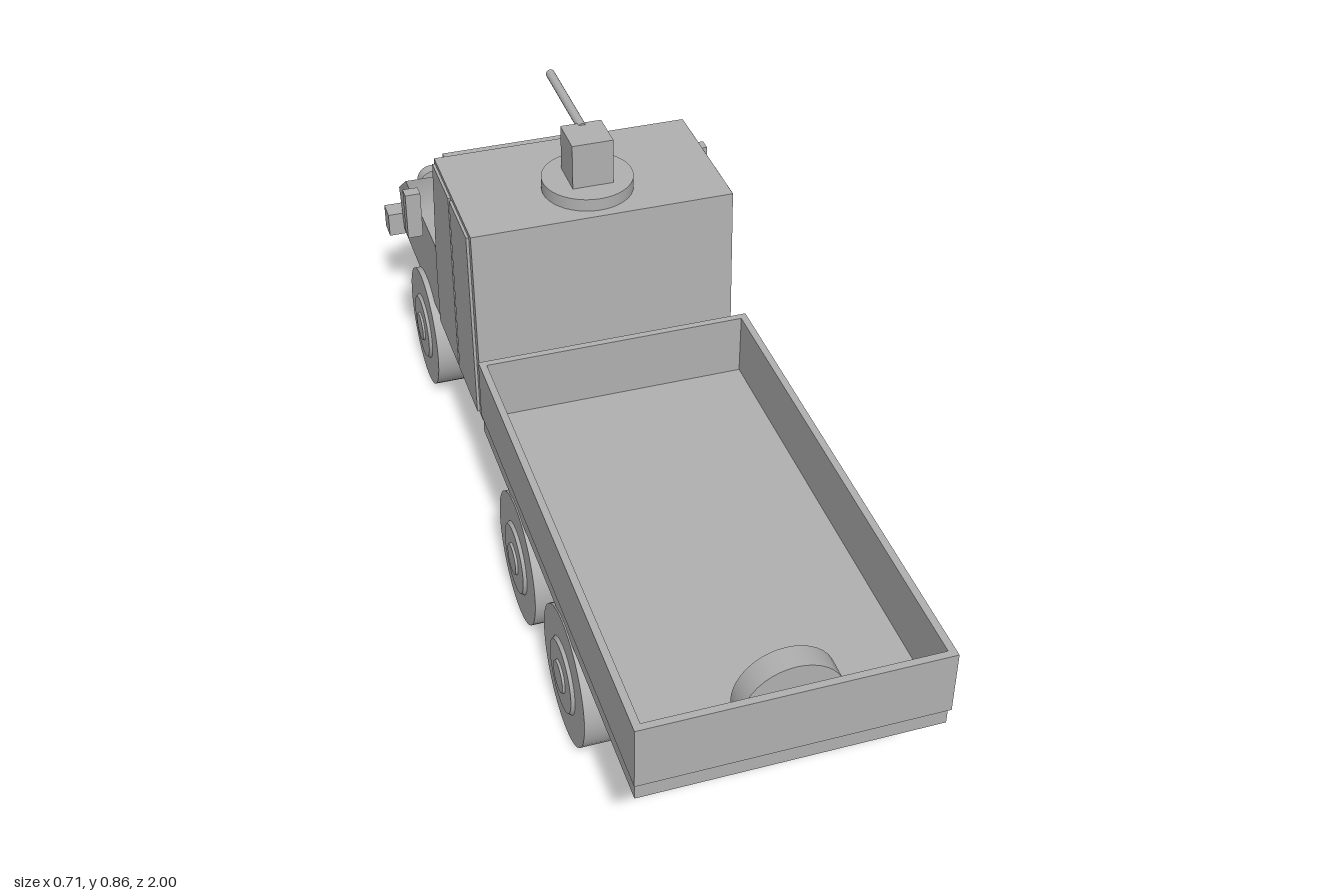
import * as THREE from 'three';
import { toCreasedNormals } from 'three/addons/utils/BufferGeometryUtils.js';

export function createModel() {
  const truck = new THREE.Group();
  truck.name = 'truck';
  const grey = new THREE.MeshStandardMaterial({ color: 0xb0b0b0 });
  grey.name = 'grey';

  const add = (name, geometry, x = 0, y = 0, z = 0) => {
    const mesh = new THREE.Mesh(geometry, grey);
    mesh.name = name;
    mesh.position.set(x, y, z);
    truck.add(mesh);
    return mesh;
  };
  // Box given by its limits on each axis
  const box = (name, x0, x1, y0, y1, z0, z1) =>
    add(name, new THREE.BoxGeometry(x1 - x0, y1 - y0, z1 - z0), (x0 + x1) / 2, (y0 + y1) / 2, (z0 + z1) / 2);
  // Side profile of [z, y] points, extruded from x0 to x1
  const profile = (name, points, x0, x1) => {
    const shape = new THREE.Shape(points.map(([z, y]) => new THREE.Vector2(-z, y)));
    const geometry = new THREE.ExtrudeGeometry(shape, { depth: x1 - x0, bevelEnabled: false });
    geometry.rotateY(Math.PI / 2);
    return add(name, toCreasedNormals(geometry, 0.7), x0);
  };

  // Chassis
  box('chassisRail', -0.125, 0.125, 0.198, 0.242, -0.9, 0.8);

  // Load bed: floor slab and four walls
  box('bedFloor', -0.297, 0.297, 0.278, 0.318, -0.08, 0.992);
  box('bedTailgate', -0.3, 0.3, 0.318, 0.457, 0.985, 1);
  box('bedFrontWall', -0.3, 0.3, 0.318, 0.457, -0.088, -0.073);
  for (const s of [-1, 1]) {
    const wall = box('bedSideWall', 0.285, 0.3, 0.318, 0.457, -0.073, 0.985);
    wall.position.x *= s;
  }
  const spare = new THREE.CylinderGeometry(0.1, 0.1, 0.05, 40).rotateX(Math.PI / 2);
  add('spareWheel', spare, 0, 0.397, 0.952);

  // Cab and bonnet in one body
  profile('cabBody', [
    [-0.135, 0.264], [-0.157, 0.725], [-0.49, 0.725], [-0.525, 0.437], [-0.54, 0.437],
    [-0.55, 0.46], [-0.7, 0.455], [-0.87, 0.445], [-0.97, 0.37], [-0.947, 0.285], [-0.938, 0.264],
  ], -0.287, 0.287);

  // Two raised door panels on each side
  const doors = [
    ['rearDoor', [[-0.158, 0.272], [-0.174, 0.715], [-0.325, 0.715], [-0.325, 0.272]]],
    ['frontDoor', [[-0.335, 0.272], [-0.335, 0.715], [-0.484, 0.715], [-0.518, 0.437], [-0.518, 0.272]]],
  ];
  for (const [name, points] of doors) {
    profile(name, points, 0.286, 0.293);
    profile(name, points, -0.293, -0.286);
  }

  // Mirrors, headlights and bumper ends
  const lamp = new THREE.CylinderGeometry(0.036, 0.036, 0.03, 24).rotateX(Math.PI / 2);
  for (const s of [-1, 1]) {
    box('mirror', 0.32, 0.354, 0.519, 0.63, -0.536, -0.508).position.x *= s;
    add('headlight', lamp, s * 0.2, 0.37, -0.975);
    box('bumperEnd', 0.225, 0.323, 0.245, 0.305, -1, -0.95).position.x *= s;
  }
  box('grillePlate', -0.168, 0.168, 0.375, 0.432, -0.992, -0.975);
  box('grilleMount', -0.15, 0.15, 0.385, 0.4, -0.978, -0.93);

  // Wheels with stepped hubs; the lathe axis points outwards
  const wheelProfile = [
    [0, 0], [0.144, 0], [0.144, 0.1], [0.08, 0.1], [0.075, 0.107],
    [0.035, 0.107], [0.033, 0.112], [0, 0.112],
  ].map(([r, h]) => new THREE.Vector2(r, h));
  const wheel = toCreasedNormals(new THREE.LatheGeometry(wheelProfile, 48), 0.5);
  for (const z of [-0.685, 0.19, 0.545]) {
    for (const s of [-1, 1]) {
      add('wheel', wheel, s * 0.2, 0.144, z).rotation.z = -s * Math.PI / 2;
    }
  }

  // Roof turret
  add('turretRing', new THREE.CylinderGeometry(0.099, 0.099, 0.028, 40), 0, 0.739, -0.278);
  box('turretBlock', -0.045, 0.045, 0.752, 0.856, -0.322, -0.233);
  const barrel = new THREE.CylinderGeometry(0.01, 0.01, 0.25, 16).rotateX(Math.PI / 2);
  add('barrel', barrel, 0, 0.85, -0.437);

  return truck;
}
